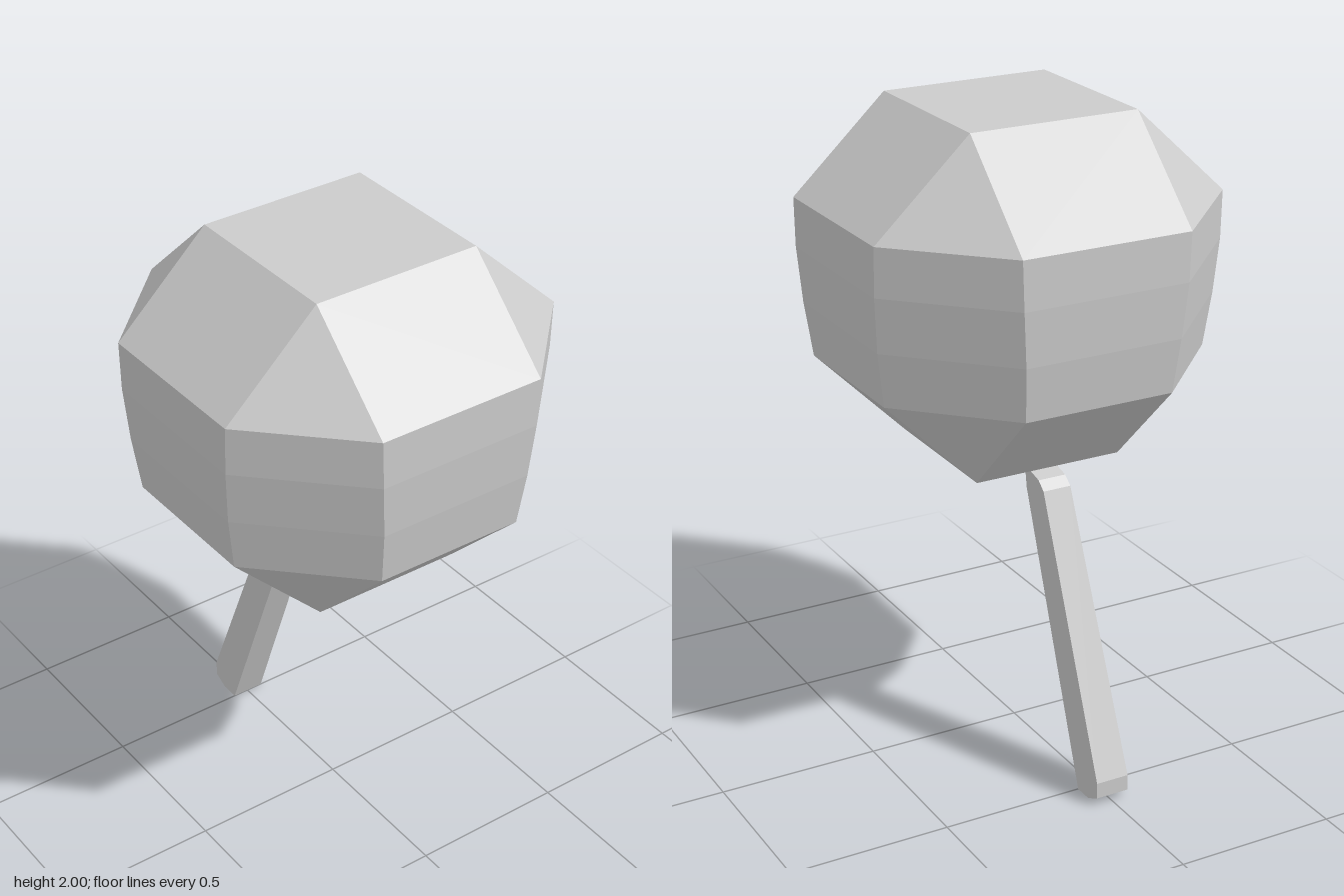
import * as THREE from 'three';
import { ConvexGeometry } from 'three/addons/geometries/ConvexGeometry.js';

const material = new THREE.MeshStandardMaterial({ color: 0xcccccc, flatShading: true });

// Faceted head: square caps and eight-sided rings, hulled together
function createHead() {
  const cx = 0.03;
  const points = [];
  const mirror = (x, y, z) => {
    for (const sx of [-1, 1]) for (const sz of [-1, 1]) points.push(new THREE.Vector3(cx + sx * x, y, sz * z));
  };
  // square caps: [height, half width]
  for (const [y, h] of [[2, 0.27], [0.935, 0.24]]) mirror(h, y, h);
  // rings: [height, outer half width, half width of the flat sides]
  for (const [y, r, h] of [[1.72, 0.57, 0.27], [1.57, 0.57, 0.265], [1.4, 0.558, 0.252], [1.23, 0.535, 0.24]]) {
    mirror(r, y, h);
    mirror(h, y, r);
  }
  const head = new THREE.Mesh(new ConvexGeometry(points), material);
  head.name = 'head';
  return head;
}

// Leaning stick with clipped ends, its front face tapering towards the top
function createStick() {
  const outline = [
    [-0.56, 0], [-0.5, 0], [-0.178, 0.87], [-0.167, 0.94],
    [-0.25, 0.92], [-0.28, 0.895], [-0.61, 0.075], [-0.61, 0.025],
  ].map(([x, y]) => new THREE.Vector2(x, y));
  const geometry = new THREE.ExtrudeGeometry(new THREE.Shape(outline), { depth: 1, bevelEnabled: false });
  const p = geometry.attributes.position;
  for (let i = 0; i < p.count; i++) {
    p.setZ(i, p.getZ(i) > 0.5 ? 0.052 - 0.018 * p.getY(i) : -0.055);
  }
  geometry.computeVertexNormals();
  const stick = new THREE.Mesh(geometry, material);
  stick.name = 'stick';
  return stick;
}

export function createModel() {
  const model = new THREE.Group();
  model.name = 'lollipop';
  model.add(createHead(), createStick());
  return model;
}
